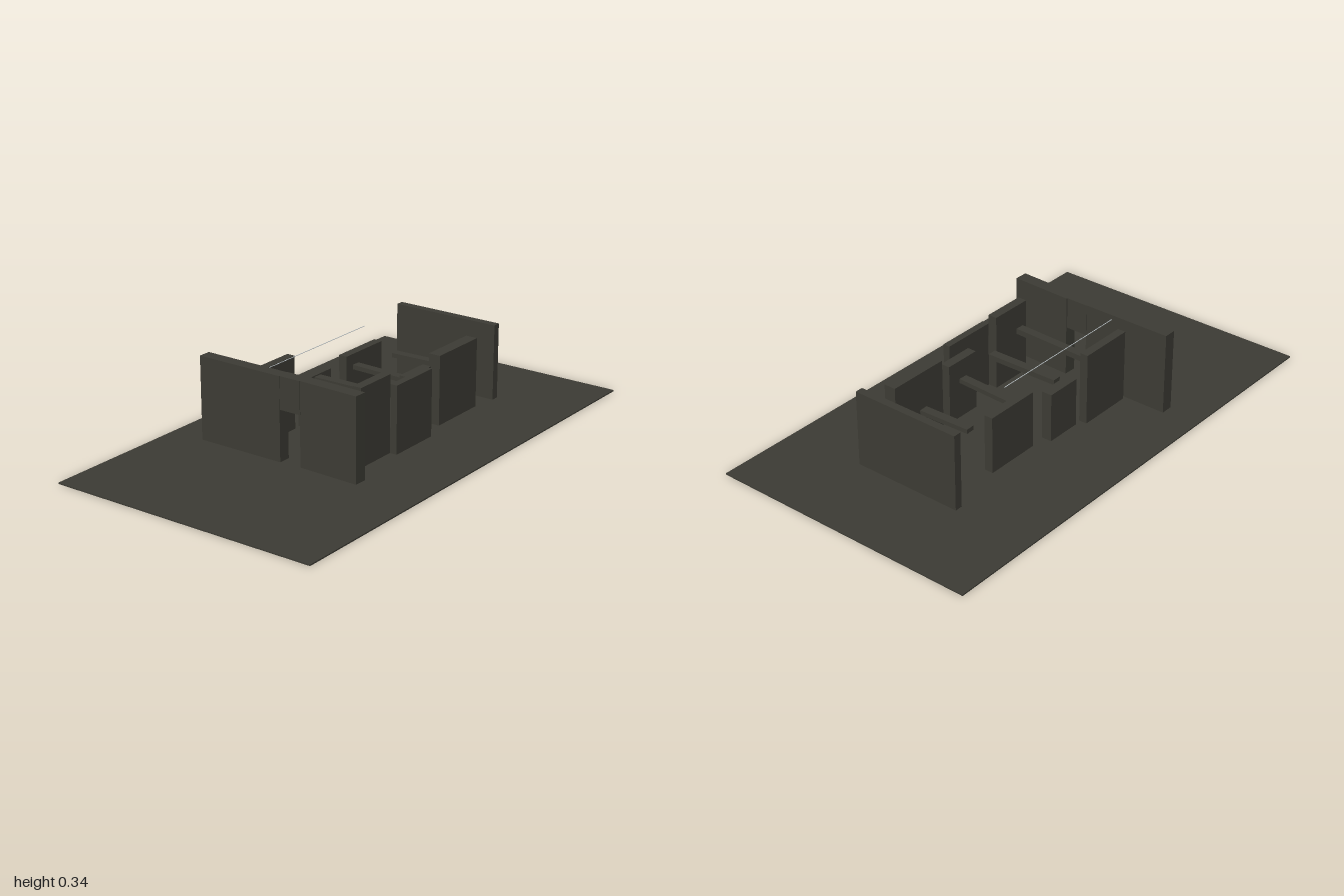
import * as THREE from 'three';

export function createModel() {
  const model = new THREE.Group();
  const stone = new THREE.MeshStandardMaterial({ color: 0x3c3b34 });
  stone.name = 'dark olive grey';
  const pale = new THREE.MeshStandardMaterial({ color: 0xc8d0d4 });
  pale.name = 'pale grey';

  // Box given by its extents along x, y and z, with an optional turn about y
  function block(name, [x0, x1], [y0, y1], [z0, z1], turn = 0, material = stone) {
    const mesh = new THREE.Mesh(new THREE.BoxGeometry(x1 - x0, y1 - y0, z1 - z0), material);
    mesh.name = name;
    mesh.position.set((x0 + x1) / 2, (y0 + y1) / 2, (z0 + z1) / 2);
    mesh.rotation.y = turn;
    model.add(mesh);
  }

  block('ground', [-0.565, 0.565], [0, 0.005], [-1, 1]);

  // Front wall: two panels and a lintel over the doorway
  block('frontWallRight', [-0.418, -0.045], [0.004, 0.34], [0.335, 0.385]);
  block('frontWallLeft', [0.045, 0.3], [0.004, 0.34], [0.332, 0.384], -0.03);
  block('doorLintel', [-0.046, 0.046], [0.21, 0.34], [0.333, 0.383]);

  block('backWall', [-0.232, 0.232], [0.004, 0.315], [-0.65, -0.618]);

  // Staggered side walls: x range, z range, height
  const sideWalls = {
    leftWall: [
      [[0.187, 0.225], [0.075, 0.255], 0.315],
      [[0.226, 0.255], [-0.152, 0.075], 0.277],
      [[0.158, 0.196], [-0.232, -0.08], 0.25],
      [[0.167, 0.217], [-0.517, -0.26], 0.288],
    ],
    rightWall: [
      [[-0.24, -0.206], [0.09, 0.322], 0.3],
      [[-0.213, -0.17], [-0.09, 0.06], 0.205],
      [[-0.181, -0.145], [-0.388, -0.157], 0.238],
    ],
  };
  for (const [name, walls] of Object.entries(sideWalls))
    walls.forEach(([x, z, h], i) => block(name + (i + 1), x, [0.004, h], z));

  // Raised beams across the passage: x range, y range, z centre, turn
  [
    [[-0.19, 0.183], [0.195, 0.218], 0.205, -0.03],
    [[-0.157, 0.152], [0.187, 0.208], 0.01, 0.02],
    [[-0.134, 0.128], [0.182, 0.2], -0.195, -0.04],
    [[-0.11, 0.107], [0.172, 0.19], -0.43, 0.04],
  ].forEach(([x, y, z, turn], i) =>
    block('crossBeam' + (i + 1), x, y, [z - 0.018, z + 0.018], turn));

  // Fine line strung along the passage
  block('thread', [-0.166, -0.164], [0.319, 0.321], [-0.3, 0.335], 0, pale);

  return model;
}
